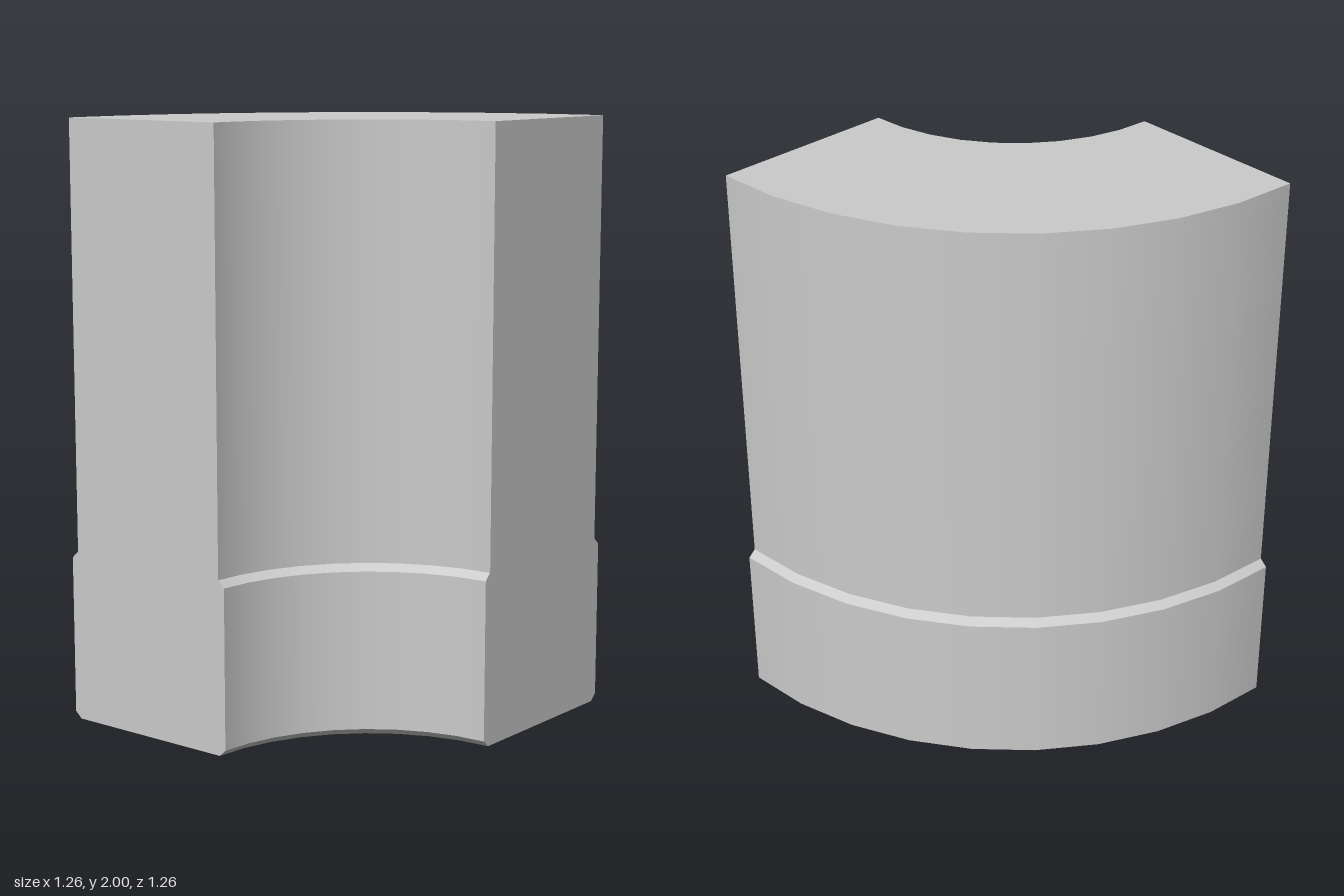
import * as THREE from 'three';
import { mergeGeometries } from 'three/addons/utils/BufferGeometryUtils.js';

const C = 0.628; // ring axis sits at x = z = C
const SEGMENTS = 9;

// closed radial cross-section (radius, height), counter-clockwise
const PROFILE = [
  [0.612, 0], [1.232, 0], [1.257, 0.022], [1.257, 0.552], [1.232, 0.575],
  [1.232, 2], [0.612, 2], [0.612, 0.575], [0.588, 0.552], [0.588, 0.022],
].map(([r, y]) => new THREE.Vector2(r, y));

// quarter-turn surface swept by one profile edge, smooth around, sharp between edges
const sweep = (i) => new THREE.LatheGeometry(
  [PROFILE[i], PROFILE[(i + 1) % PROFILE.length]], SEGMENTS, Math.PI, Math.PI / 2);

export function createModel() {
  const group = new THREE.Group();
  group.name = 'quarterSleeve';
  const material = new THREE.MeshStandardMaterial({ color: 0xcccccc });

  const add = (name, geometry) => {
    const mesh = new THREE.Mesh(geometry, material);
    mesh.name = name;
    mesh.position.set(C, 0, C);
    group.add(mesh);
  };

  // curved walls, grouped by part
  const parts = {
    bottomFace: [0],
    outerCollar: [1, 2, 3],
    outerWall: [4],
    topFace: [5],
    innerWall: [6],
    innerCollar: [7, 8, 9],
  };
  for (const [name, edges] of Object.entries(parts)) {
    add(name, mergeGeometries(edges.map(sweep)));
  }

  // flat cut faces closing both ends of the quarter ring
  add('rightCutFace', new THREE.ShapeGeometry(new THREE.Shape(PROFILE)).rotateY(Math.PI / 2));
  const mirrored = PROFILE.map((p) => new THREE.Vector2(-p.x, p.y)).reverse();
  add('frontCutFace', new THREE.ShapeGeometry(new THREE.Shape(mirrored)));

  return group;
}
